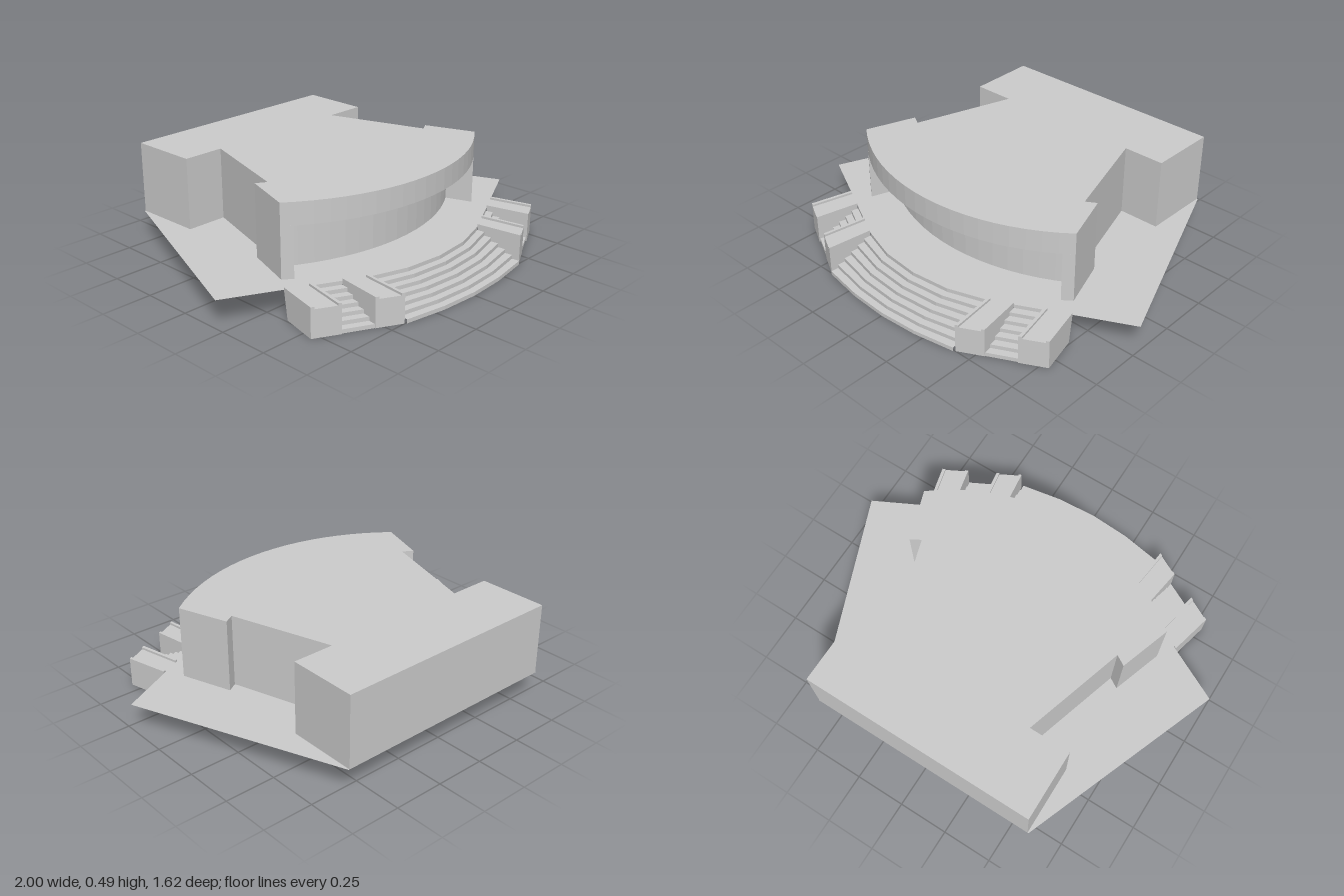
import * as THREE from 'three';

const FLOOR = 0.135, SOFFIT = 0.385, ROOF = 0.493, RIM = 0.146;
const material = new THREE.MeshStandardMaterial({ color: 0xcccccc, flatShading: true });
const thin = new THREE.MeshStandardMaterial({ color: 0xcccccc, flatShading: true, side: THREE.DoubleSide });

const lerp = (a, b, t) => a.map((v, i) => v + (b[i] - v) * t);
const mirrorX = pts => pts.map(([x, z]) => [-x, z]).reverse();

function addMesh(parent, name, geometry, mat = material) {
  const mesh = new THREE.Mesh(geometry, mat);
  mesh.name = name;
  parent.add(mesh);
  return mesh;
}

// Plan outline in [x, z]
const planShape = pts => new THREE.Shape(pts.map(([x, z]) => new THREE.Vector2(x, -z)));

function slab(pts, y0, y1) {
  return new THREE.ExtrudeGeometry(planShape(pts), { depth: y1 - y0, bevelEnabled: false })
    .rotateX(-Math.PI / 2).translate(0, y0, 0);
}

// Points of a circular arc from x0 to x1 which peaks at zMid and meets zEnd at x = half
function arc(half, zEnd, zMid, x0, x1, n) {
  const sag = zMid - zEnd, r = (half * half + sag * sag) / (2 * sag);
  const a0 = Math.asin(x0 / r), a1 = Math.asin(x1 / r);
  return Array.from({ length: n + 1 }, (_, i) => {
    const a = a0 + (a1 - a0) * i / n;
    return [r * Math.sin(a), zMid - r + r * Math.cos(a)];
  });
}

function quadGeometry(quads) {
  const pos = [];
  for (const [a, b, c, d] of quads) pos.push(...a, ...b, ...c, ...a, ...c, ...d);
  const g = new THREE.BufferGeometry();
  g.setAttribute('position', new THREE.Float32BufferAttribute(pos, 3));
  g.computeVertexNormals();
  return g;
}

// Four-cornered block; corners run counterclockwise seen from above
function block(bottom, y0, top, y1) {
  const lo = bottom.map(([x, z]) => [x, y0, z]), hi = top.map(([x, z]) => [x, y1, z]);
  const quads = [hi, [...lo].reverse()];
  for (let i = 0; i < 4; i++) {
    const j = (i + 1) % 4;
    quads.push([lo[i], lo[j], hi[j], hi[i]]);
  }
  return quadGeometry(quads);
}

// Open flight of steps blending from the bottom line to the top line
function stairs(bottom, top, risers = 7) {
  const quads = [], rise = FLOOR / risers;
  const row = (i, y) => bottom.map((p, k) => {
    const [x, z] = lerp(p, top[k], i / (risers - 1));
    return [x, y, z];
  });
  const strip = (lo, hi) => {
    for (let k = 0; k < lo.length - 1; k++) quads.push([lo[k], lo[k + 1], hi[k + 1], hi[k]]);
  };
  for (let i = 0; i < risers; i++) {
    const y = (i + 1) * rise;
    strip(row(i, i * rise), row(i, y));
    if (i < risers - 1) strip(row(i, y), row(i + 1, y));
  }
  return quadGeometry(quads);
}

// Stair pier: a block with a sloped back and a low kerb along both sides
function pier(name, [a, b, c, d], side) {
  const group = new THREE.Group();
  group.name = name;
  const orient = pts => side > 0 ? pts : mirrorX(pts);
  const body = [a, b, c, d], foot = [lerp(a, d, 0.12), lerp(b, c, 0.12), c, d];
  addMesh(group, 'pierBody', block(orient(foot), 0, orient(body), FLOOR));
  const w = 0.12;
  const outer = [a, lerp(a, b, w), lerp(d, c, w), d];
  const inner = [lerp(b, a, w), b, c, lerp(c, d, w)];
  for (const k of [outer, inner]) addMesh(group, 'pierKerb', block(orient(k), FLOOR, orient(k), RIM));
  return group;
}

export function createModel() {
  const model = new THREE.Group();
  model.name = 'hall';

  // Building: side walls shared by the lower storey and the roof
  const rightWall = [[0.595, -0.81], [0.592, -0.46], [0.383, -0.46], [0.54, 0.045], [0.59, 0.015]];
  const leftWall = mirrorX(rightWall);
  const front = (x0, x1, n) => arc(0.675, 0.265, 0.507, x0, x1, n);

  // Lower storey with a recessed curved front between two wall ends
  const recess = arc(0.585, 0.167, 0.34, 0.585, -0.585, 16);
  addMesh(model, 'lowerStorey', slab(
    [...rightWall, ...front(0.675, 0.63, 1), ...recess, ...front(-0.63, -0.675, 1), ...leftWall],
    FLOOR, SOFFIT));
  addMesh(model, 'roofBand', slab([...rightWall, ...front(0.675, -0.675, 20), ...leftWall], SOFFIT, ROOF));

  // Thin terrace floor
  const topLine = [[-0.39, 0.52], [-0.2, 0.582], [0, 0.602], [0.2, 0.582], [0.39, 0.52]];
  const terrace = new THREE.ShapeGeometry(planShape(
    [[-0.6, -0.81], [-1, 0.21], ...topLine, [1, 0.21], [0.6, -0.81]]));
  addMesh(model, 'terrace', terrace.rotateX(-Math.PI / 2).translate(0, FLOOR, 0), thin);

  // Wide front stairs
  const bottomLine = [[-0.41, 0.757], [-0.2, 0.793], [0, 0.805], [0.2, 0.793], [0.41, 0.757]];
  addMesh(model, 'frontStairs', stairs(bottomLine, topLine), thin);

  // Piers and narrow stairs on both sides
  const outerPier = [[0.735, 0.345], [0.62, 0.402], [0.668, 0.622], [0.788, 0.558]];
  const innerPier = [[0.5, 0.463], [0.39, 0.52], [0.418, 0.75], [0.535, 0.688]];
  for (const side of [1, -1]) {
    const label = side > 0 ? 'left' : 'right';
    model.add(pier(label + 'OuterPier', outerPier, side), pier(label + 'InnerPier', innerPier, side));
    const place = pts => side > 0 ? pts : mirrorX(pts);
    addMesh(model, label + 'SideStairs', stairs(
      place([[0.535, 0.685], [0.665, 0.618]]), place([[0.5, 0.463], [0.62, 0.402]])), thin);
  }
  return model;
}
